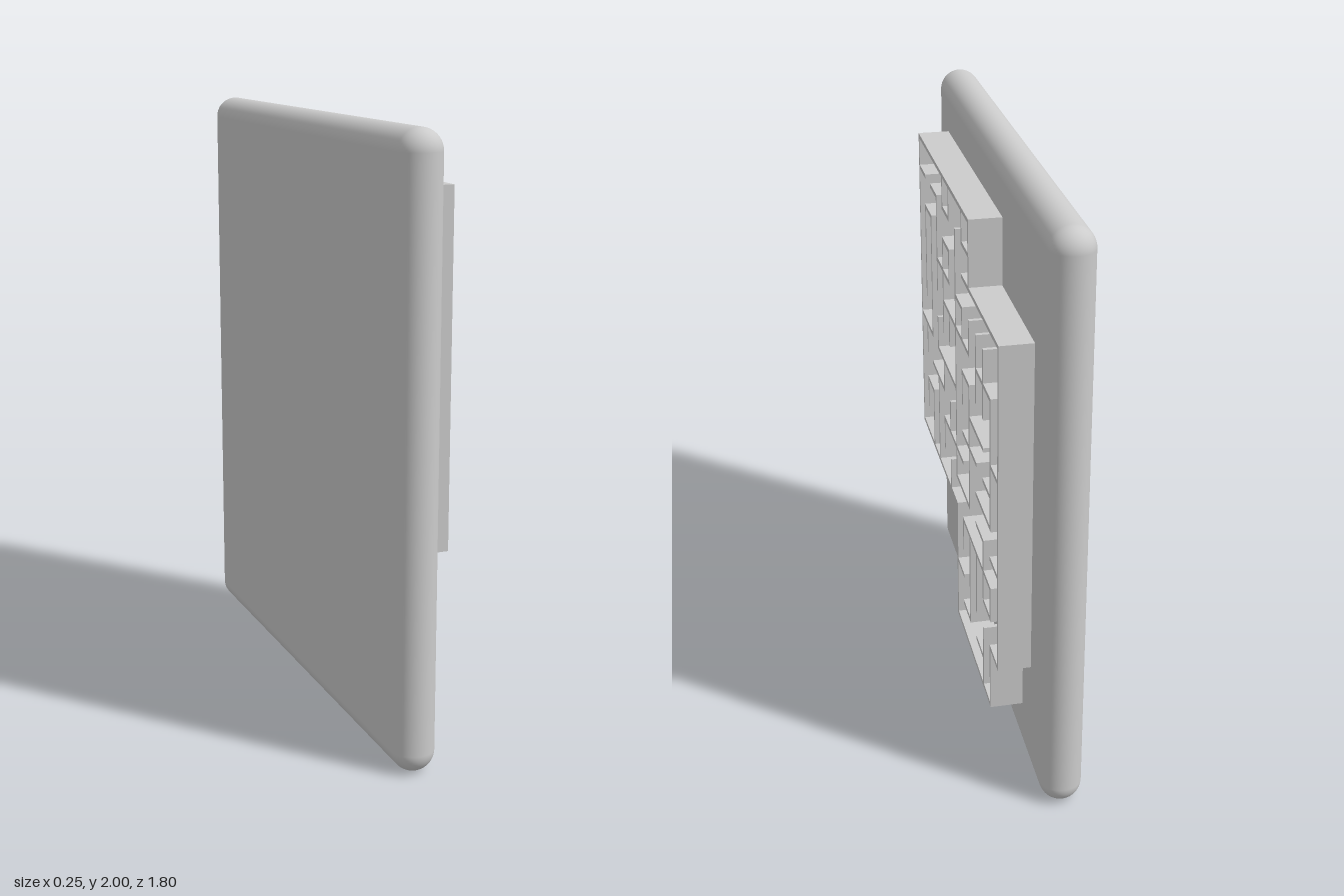
import * as THREE from 'three';
import { RoundedBoxGeometry } from 'three/addons/geometries/RoundedBoxGeometry.js';

const CELL = 0.1145;   // maze grid spacing
const THICK = 0.015;   // wall thickness
const FACE = 0.015;    // x of the slab's maze side
const TOP = 0.125;     // x of the wall tops

// Horizontal walls: one entry per grid row, each [first column, last column]
const ROWS = [
  [[0, 8]],
  [[0, 1], [2, 3], [4, 5], [7, 8]],
  [[1, 2], [4, 5], [7, 12]],
  [[3, 5], [6, 7]],
  [[4, 8], [9, 11]],
  [[7, 8]],
  [[0, 2], [3, 6], [8, 10], [11, 12]],
  [[2, 4], [7, 9], [10, 11]],
  [[1, 2], [4, 7], [9, 11]],
  [[6, 8], [9, 10], [11, 12]],
  [[0, 6], [7, 11]],
  [[10, 11]],
  [[6, 7], [11, 12]],
  [[7, 8], [9, 10]],
  [[6, 11]],
];

// Vertical walls: one entry per grid column, each [first row, last row]
const COLUMNS = [
  [[0, 10]],
  [[2, 5], [6, 7], [8, 9]],
  [[2, 6], [8, 10]],
  [[1, 4], [5, 6], [7, 10]],
  [[0, 1], [2, 5], [6, 7], [8, 9]],
  [[0, 1], [2, 3], [4, 5], [7, 8], [9, 10]],
  [[1, 9], [10, 14]],
  [[0, 1], [3, 4], [5, 6], [10, 11]],
  [[0, 2], [3, 4], [5, 9], [10, 13]],
  [[3, 5], [10, 12]],
  [[3, 5], [9, 11], [12, 14]],
  [[4, 8], [10, 11], [12, 14]],
  [[2, 12]],
];

const colZ = (c) => 0.687 - c * CELL;
const rowY = (r) => 1.807 - r * CELL;

export function createModel() {
  const model = new THREE.Group();
  model.name = 'mazeBoard';
  const material = new THREE.MeshStandardMaterial({ color: 0xcccccc });

  // Backing slab with fully rounded edges
  const slab = new THREE.Mesh(new RoundedBoxGeometry(0.14, 2, 1.8, 8, 0.07), material);
  slab.name = 'slab';
  slab.position.set(FACE - 0.07, 1, 0);
  model.add(slab);

  // Maze walls, sunk slightly into the slab
  const walls = new THREE.Group();
  walls.name = 'mazeWalls';
  model.add(walls);
  const base = FACE - 0.01;
  const addWall = (name, c0, c1, r0, r1) => {
    const height = (r1 - r0) * CELL + THICK;
    const length = (c1 - c0) * CELL + THICK;
    const wall = new THREE.Mesh(new THREE.BoxGeometry(TOP - base, height, length), material);
    wall.name = name;
    wall.position.set((TOP + base) / 2, rowY((r0 + r1) / 2), colZ((c0 + c1) / 2));
    walls.add(wall);
  };
  ROWS.forEach((spans, r) => spans.forEach(([a, b]) => addWall('horizontalWall', a, b, r, r)));
  COLUMNS.forEach((spans, c) => spans.forEach(([a, b]) => addWall('verticalWall', c, c, a, b)));

  return model;
}
